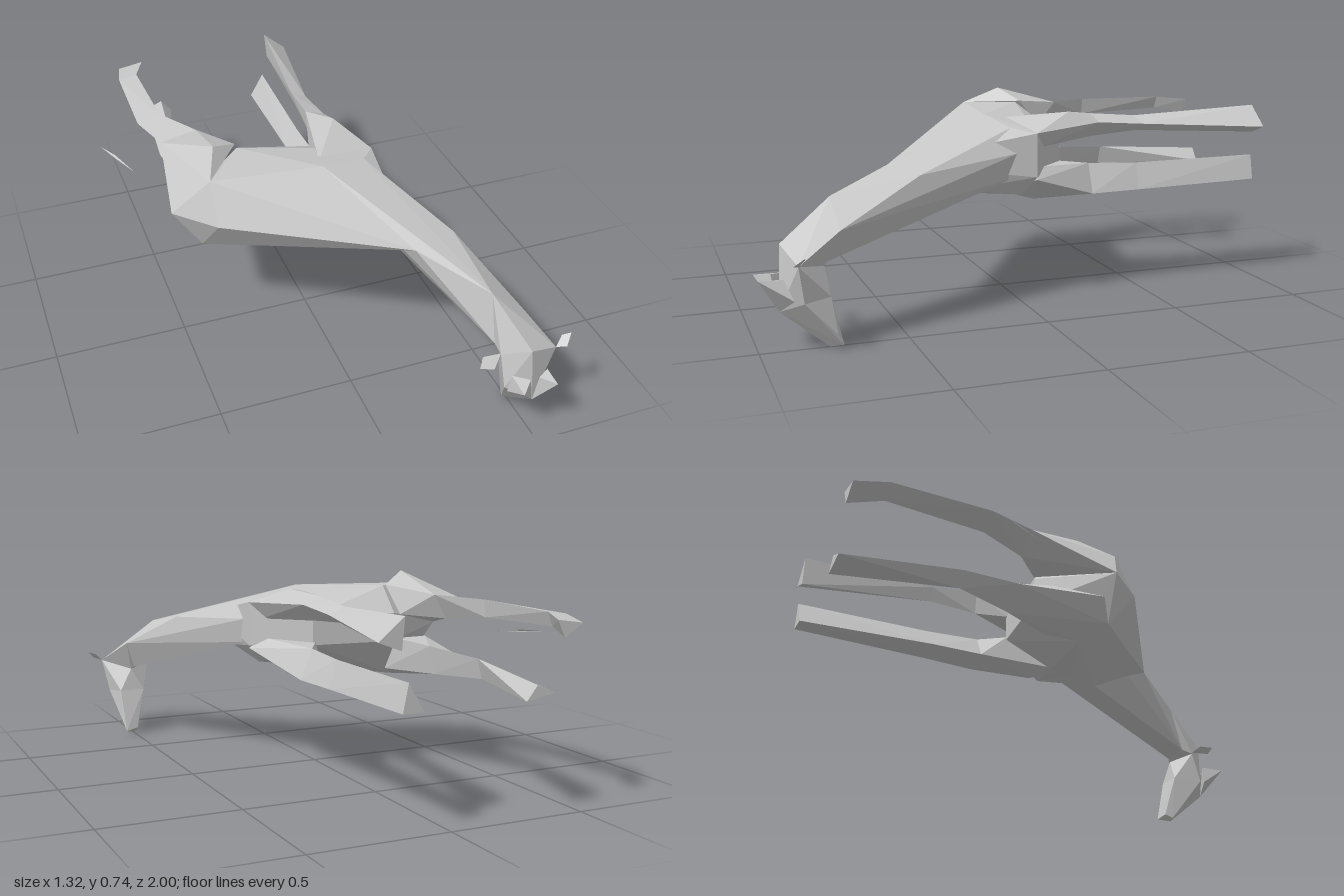
import * as THREE from 'three';
import { ConvexGeometry } from 'three/addons/geometries/ConvexGeometry.js';

const hide = new THREE.MeshStandardMaterial({ color: 0xc8c8c8, flatShading: true, side: THREE.DoubleSide });
hide.name = 'plain grey';

// Faceted solid around a handful of corner points
function solid(name, points) {
  const mesh = new THREE.Mesh(new ConvexGeometry(points.map(p => new THREE.Vector3(...p))), hide);
  mesh.name = name;
  return mesh;
}

// Thin leaf, drawn as a fan from its first point
function leaf(name, points) {
  const g = new THREE.BufferGeometry();
  g.setAttribute('position', new THREE.Float32BufferAttribute(points.flat(), 3));
  const index = [];
  for (let i = 1; i < points.length - 1; i++) index.push(0, i, i + 1);
  g.setIndex(index);
  g.computeVertexNormals();
  const mesh = new THREE.Mesh(g, hide);
  mesh.name = name;
  return mesh;
}

// Leg: a joint at the trunk, then three-sided sections [z, [x, y], [x, y], [x, y]]
function leg(name, joint, sections) {
  const group = new THREE.Group();
  group.name = name;
  const rings = sections.map(([z, ...corners]) => corners.map(([x, y]) => [x, y, z]));
  group.add(solid('upperLeg', [...joint, ...rings[0]]));
  for (let i = 1; i < rings.length; i++) {
    group.add(solid(i === rings.length - 1 ? 'foot' : 'shin', [...rings[i - 1], ...rings[i]]));
  }
  return group;
}

export function createModel() {
  const model = new THREE.Group();
  model.name = 'lyingGiraffe';

  // Trunk, from rump to the root of the neck
  model.add(solid('body', [
    [-0.505, 0.525, -0.04], [-0.37, 0.53, 0.11], [-0.37, 0.68, 0.03], [-0.22, 0.69, -0.14],
    [0.04, 0.685, 0.08], [0.22, 0.655, 0.04], [0.285, 0.64, -0.04],
    [-0.4, 0.375, -0.02], [-0.29, 0.34, -0.08], [0.04, 0.38, 0.06], [0.23, 0.41, 0.0], [0.285, 0.48, -0.04],
    [-0.22, 0.595, -0.23], [-0.22, 0.49, -0.23], [0.1, 0.595, -0.2], [0.1, 0.49, -0.2],
    [0.23, 0.55, 0.5], [0.23, 0.44, 0.26],
  ]));

  // Neck, bending sideways towards the head
  const neckMiddle = [[0.41, 0.49, 0.74], [0.53, 0.4, 0.73], [0.49, 0.29, 0.77], [0.41, 0.31, 0.79]];
  model.add(solid('lowerNeck', [
    [0.04, 0.685, 0.08], [0.22, 0.655, 0.04], [0.275, 0.57, 0.03], [0.23, 0.55, 0.5],
    [0.23, 0.44, 0.26], [0.26, 0.48, 0.04], [0.41, 0.54, 0.43], ...neckMiddle,
  ]));
  const crown = [[0.48, 0.36, 0.92], [0.6, 0.31, 0.88], [0.41, 0.3, 0.84], [0.5, 0.28, 0.78]];
  model.add(solid('upperNeck', [...neckMiddle, ...crown]));

  // Head with horns and ears
  const brow = [[0.415, 0.18, 0.88], [0.575, 0.18, 0.86], [0.5, 0.14, 0.93], [0.45, 0.19, 0.77], [0.55, 0.19, 0.77]];
  model.add(solid('skull', [...crown, ...brow]));
  model.add(solid('muzzle', [
    ...brow,
    [0.48, 0.015, 0.77], [0.5, 0.005, 0.77], [0.54, 0.02, 0.73], [0.55, 0.06, 0.75], [0.49, 0.03, 0.74],
  ]));
  model.add(solid('rightHorn', [[0.42, 0.25, 1], [0.47, 0.26, 0.95], [0.425, 0.25, 0.9], [0.415, 0.18, 0.9], [0.5, 0.14, 0.93]]));
  model.add(solid('leftHorn', [[0.545, 0.26, 1], [0.51, 0.25, 0.94], [0.55, 0.26, 0.92], [0.5, 0.14, 0.93], [0.57, 0.19, 0.89]]));
  model.add(leaf('rightEar', [[0.41, 0.305, 0.84], [0.36, 0.29, 0.89], [0.31, 0.3, 0.88], [0.34, 0.31, 0.84]]));
  model.add(leaf('leftEar', [[0.6, 0.31, 0.88], [0.63, 0.32, 0.9], [0.66, 0.35, 0.87], [0.63, 0.34, 0.86]]));

  // Hind legs
  model.add(leg('upperHindLeg',
    [[-0.37, 0.68, 0.03], [-0.32, 0.74, -0.1], [-0.22, 0.695, -0.16], [-0.505, 0.525, -0.04], [-0.24, 0.59, -0.24], [-0.36, 0.57, -0.22]],
    [
      [-0.35, [-0.46, 0.64], [-0.32, 0.67], [-0.37, 0.58]],
      [-0.52, [-0.51, 0.64], [-0.42, 0.665], [-0.43, 0.6]],
      [-0.88, [-0.505, 0.65], [-0.43, 0.66], [-0.45, 0.61]],
      [-1, [-0.48, 0.635], [-0.38, 0.65], [-0.41, 0.59]],
    ]));
  model.add(leg('lowerHindLeg',
    [[-0.4, 0.375, -0.02], [-0.29, 0.34, -0.08], [-0.21, 0.38, -0.18], [-0.45, 0.45, -0.06], [-0.23, 0.5, -0.23], [-0.36, 0.5, -0.22]],
    [
      [-0.37, [-0.4, 0.45], [-0.29, 0.485], [-0.31, 0.38]],
      [-0.58, [-0.42, 0.44], [-0.36, 0.465], [-0.38, 0.39]],
      [-1, [-0.38, 0.415], [-0.31, 0.445], [-0.27, 0.395]],
    ]));

  // Front legs
  model.add(leg('upperFrontLeg',
    [[0.05, 0.67, 0.02], [0.285, 0.64, -0.04], [0.19, 0.7, -0.2], [0.24, 0.58, -0.06], [0.09, 0.59, -0.2]],
    [
      [-0.32, [0.12, 0.68], [0.195, 0.655], [0.13, 0.595]],
      [-0.5, [0.125, 0.665], [0.185, 0.64], [0.14, 0.61]],
      [-0.99, [0.17, 0.69], [0.26, 0.615], [0.18, 0.585]],
    ]));
  model.add(leg('lowerFrontLeg',
    [[0.05, 0.39, 0.02], [0.14, 0.37, -0.08], [0.285, 0.47, -0.04], [0.24, 0.51, -0.06], [0.09, 0.5, -0.2]],
    [
      [-0.3, [0.1, 0.41], [0.15, 0.495], [0.195, 0.385]],
      [-0.5, [0.1, 0.41], [0.15, 0.485], [0.18, 0.385]],
      [-1, [0.105, 0.395], [0.16, 0.49], [0.18, 0.395]],
    ]));

  // Tail tuft
  model.add(leaf('tail', [[-0.57, 0.525, -0.36], [-0.62, 0.53, -0.47], [-0.66, 0.542, -0.56], [-0.618, 0.54, -0.48]]));

  return model;
}
